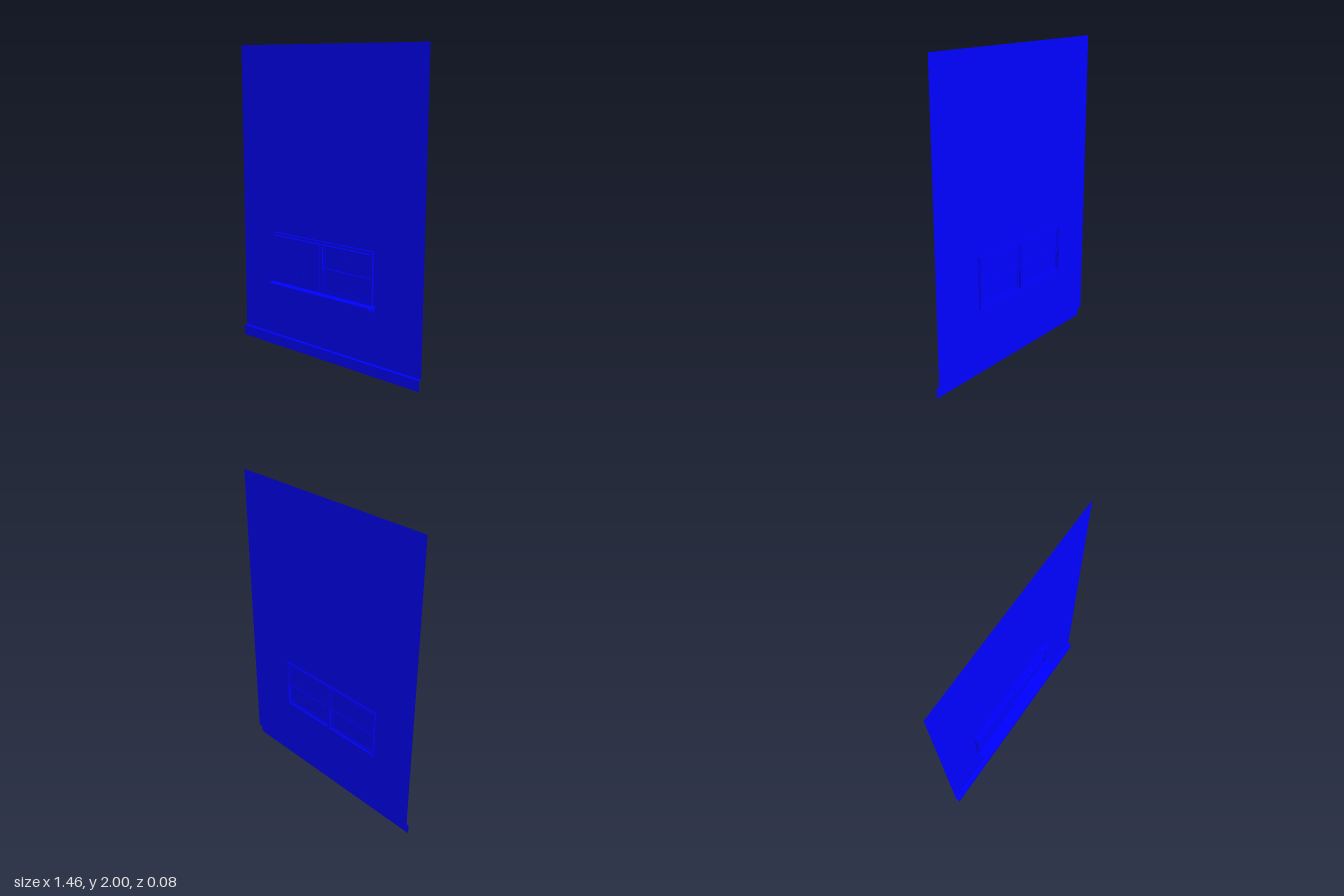
import * as THREE from 'three';

const mat = new THREE.MeshStandardMaterial({ color: 0x0000ff, side: THREE.DoubleSide });
const WALL_Z = -0.028, SKIRT_Z = -0.006, HALF = 0.728, SKIRT_Y = 0.07;

function add(parent, name, geometry) {
  const mesh = new THREE.Mesh(geometry, mat);
  mesh.name = name;
  parent.add(mesh);
  return mesh;
}

// Box given by its limits on each axis
function box(parent, name, x0, x1, y0, y1, z0, z1) {
  const m = add(parent, name, new THREE.BoxGeometry(x1 - x0, y1 - y0, z1 - z0));
  m.position.set((x0 + x1) / 2, (y0 + y1) / 2, (z0 + z1) / 2);
  return m;
}

// Flat rectangle with rectangular holes, each given as [x0, x1, y0, y1]
function rectShape([x0, x1, y0, y1], holes = []) {
  const trace = (p, a, b, c, d) => p.moveTo(a, c).lineTo(b, c).lineTo(b, d).lineTo(a, d).closePath();
  const shape = new THREE.Shape();
  trace(shape, x0, x1, y0, y1);
  for (const h of holes) {
    const path = new THREE.Path();
    trace(path, ...h);
    shape.holes.push(path);
  }
  return shape;
}

// Rectangular frame with depth from z0 to z1
function frame(parent, name, outer, holes, z0, z1) {
  const g = new THREE.ExtrudeGeometry(rectShape(outer, holes), { depth: z1 - z0, bevelEnabled: false });
  g.translate(0, 0, z0);
  return add(parent, name, g);
}

function sash(parent, name, x0, x1, y0, y1, z0, z1) {
  const group = new THREE.Group();
  group.name = name;
  const w = 0.013, hole = [x0 + w, x1 - w, y0 + w, y1 - w];
  frame(group, 'sashFrame', [x0, x1, y0, y1], [hole], z0, z1);
  const pane = add(group, 'pane', new THREE.ShapeGeometry(rectShape(hole)));
  pane.position.z = (z0 + z1) / 2;
  parent.add(group);
}

export function createModel() {
  const model = new THREE.Group();
  model.name = 'wallWithWindow';

  // Wall sheet with window opening, stepping forward into the skirting
  const wall = new THREE.Group();
  wall.name = 'wall';
  model.add(wall);
  add(wall, 'wallSheet', new THREE.ShapeGeometry(
    rectShape([-HALF, HALF, SKIRT_Y, 2], [[-0.43, 0.367, 0.452, 0.78]]))).position.z = WALL_Z;
  add(wall, 'skirtingFace', new THREE.ShapeGeometry(
    rectShape([-HALF, HALF, 0, SKIRT_Y]))).position.z = SKIRT_Z;
  const ledge = add(wall, 'skirtingLedge', new THREE.PlaneGeometry(2 * HALF, SKIRT_Z - WALL_Z).rotateX(-Math.PI / 2));
  ledge.position.set(0, SKIRT_Y, (SKIRT_Z + WALL_Z) / 2);

  // Window frame with a central mullion
  const win = new THREE.Group();
  win.name = 'window';
  model.add(win);
  const bays = [[-0.424, -0.042], [-0.018, 0.361]];
  const openings = bays.map(([a, b]) => [a, b, 0.461, 0.768]);
  frame(win, 'windowFrame', [-0.436, 0.373, 0.447, 0.784], openings, -0.034, -0.013);
  frame(win, 'backTrim', [-0.43, 0.367, 0.452, 0.778], openings, -0.039, -0.034);

  // Each bay: outer upper sash, inner lower sash and a roller blind
  bays.forEach(([x0, x1], i) => {
    const mid = (x0 + x1) / 2;
    sash(win, 'upperSash', x0, x1, 0.6, 0.768, -0.034, -0.026);
    sash(win, 'lowerSash', x0, x1, 0.461, 0.612, -0.025, -0.017);

    const blind = new THREE.Group();
    blind.name = i === 0 ? 'loweredBlind' : 'raisedBlind';
    win.add(blind);
    const roll = add(blind, 'blindRoll', new THREE.CylinderGeometry(0.008, 0.008, x1 - x0, 16).rotateZ(Math.PI / 2));
    roll.position.set(mid, 0.763, -0.008);
    const bottom = i === 0 ? 0.46 : 0.752;
    box(blind, 'blindCloth', x0 - 0.002, x1 + 0.002, bottom, 0.765, -0.011, -0.009);

    // Pull cord with a small knob
    const top = i === 0 ? 0.535 : 0.755, end = i === 0 ? 0.515 : 0.66;
    const cordZ = i === 0 ? -0.004 : 0.003;
    const cord = add(blind, 'pullCord', new THREE.CylinderGeometry(0.001, 0.001, top - end, 6));
    cord.position.set(mid, (top + end) / 2, cordZ);
    add(blind, 'pullKnob', new THREE.SphereGeometry(0.004, 10, 8)).position.set(mid, end, cordZ);
  });

  // Sill board and the apron under it
  box(win, 'sill', -0.446, 0.387, 0.43, 0.447, WALL_Z, 0.037);
  box(win, 'apron', -0.443, 0.384, 0.408, 0.43, WALL_Z, -0.01);
  return model;
}
